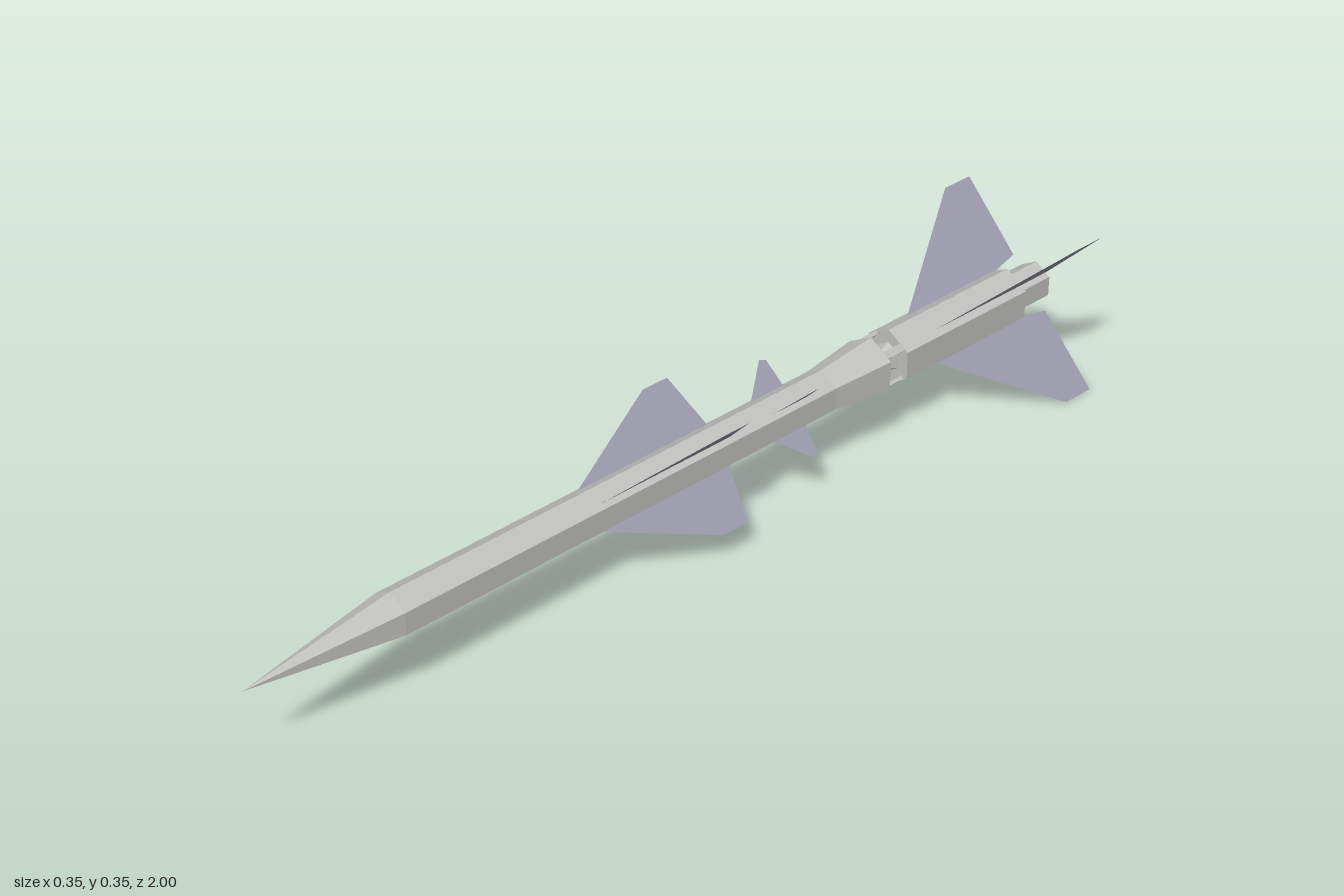
import * as THREE from 'three';

const AXIS_Y = 0.175;

export function createModel() {
  const hull = new THREE.MeshStandardMaterial({ color: 0xc2c2c0 });
  hull.name = 'hullGrey';
  const finGrey = new THREE.MeshStandardMaterial({ color: 0x9e9dae, side: THREE.DoubleSide });
  finGrey.name = 'finBlueGrey';
  const black = new THREE.MeshStandardMaterial({ color: 0x1c1c1c });
  black.name = 'exhaustBlack';

  const model = new THREE.Group();
  model.name = 'missile';
  const axis = new THREE.Group();
  axis.name = 'airframe';
  axis.position.y = AXIS_Y;
  model.add(axis);

  const add = (name, geometry, material, parent = axis) => {
    const mesh = new THREE.Mesh(geometry, material);
    mesh.name = name;
    parent.add(mesh);
    return mesh;
  };

  // Faceted six-sided shell along z; profile is [z, radius] from rear to front
  const hexShell = (name, profile, material) => {
    const points = profile.map(([z, r]) => new THREE.Vector2(r, z));
    const geometry = new THREE.LatheGeometry(points, 6).toNonIndexed();
    geometry.rotateX(Math.PI / 2);
    geometry.computeVertexNormals();
    return add(name, geometry, material);
  };

  // Six-sided end plate facing backwards
  const rearPlate = (name, radius, z, material) => {
    const geometry = new THREE.CircleGeometry(radius, 6, Math.PI / 2);
    geometry.rotateY(Math.PI);
    geometry.translate(0, 0, z);
    return add(name, geometry, material);
  };

  // Main stage: flared tail, straight body, pointed nose
  hexShell('mainBody', [[-0.515, 0.063], [-0.38, 0.047], [0.68, 0.047], [1, 0]], hull);
  rearPlate('mainBodyExhaust', 0.063, -0.515, black);

  // Booster with a blunt cap at the front
  hexShell('booster', [[-0.91, 0.06], [-0.565, 0.06], [-0.565, 0.032], [-0.538, 0.018], [-0.535, 0]], hull);
  rearPlate('boosterRearWall', 0.06, -0.91, hull);

  // Booster nozzle
  hexShell('boosterNozzle', [[-1, 0.042], [-0.91, 0.042]], hull);
  rearPlate('boosterExhaust', 0.042, -1, black);

  // Fin outlines as [z, x offset]; the fins stand on the diagonals
  const fins = {
    midFin: [[0.22, 0.03], [-0.015, 0.109], [-0.077, 0.109], [-0.105, 0.03]],
    smallFin: [[-0.22, 0.03], [-0.285, 0.075], [-0.3, 0.071], [-0.306, 0.03]],
    tailFin: [[-0.655, 0.035], [-0.91, 0.175], [-0.982, 0.175], [-0.982, 0.046], [-0.91, 0.036]],
  };
  for (let i = 0; i < 4; i++) {
    const diagonal = new THREE.Group();
    diagonal.name = 'finSet' + (i + 1);
    diagonal.rotation.z = Math.PI / 4 + (i * Math.PI) / 2;
    axis.add(diagonal);

    for (const [name, outline] of Object.entries(fins)) {
      const shape = new THREE.Shape(outline.map(([z, d]) => new THREE.Vector2(d * Math.SQRT2, z)));
      const geometry = new THREE.ShapeGeometry(shape);
      geometry.rotateX(Math.PI / 2);
      add(name, geometry, finGrey, diagonal);
    }

    // Strut joining the two stages
    const strut = new THREE.BoxGeometry(0.008, 0.016, 0.052);
    strut.translate(0.05, 0, -0.54);
    add('stageStrut', strut, hull, diagonal);
  }

  return model;
}
